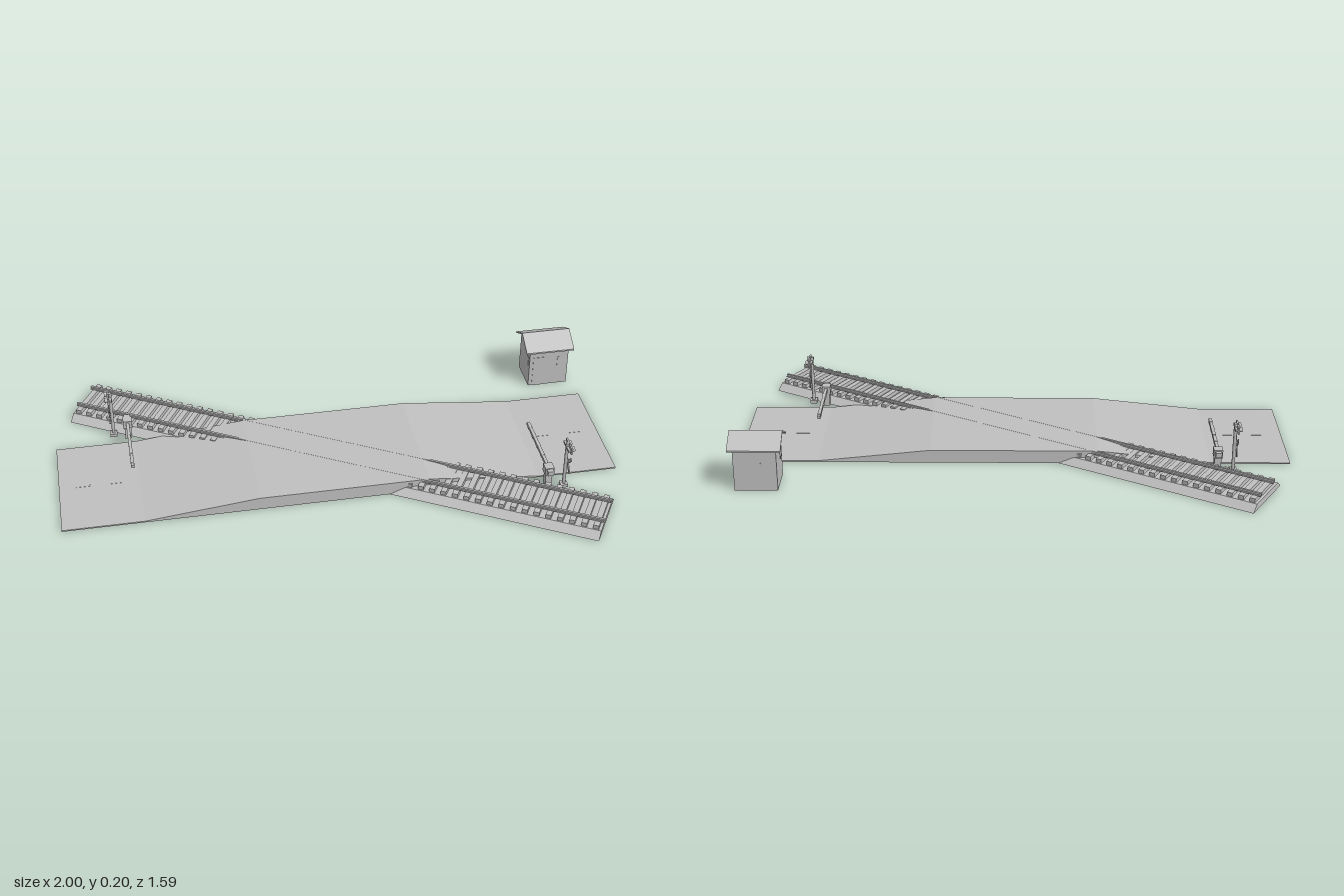
import * as THREE from 'three';

const gray = new THREE.MeshStandardMaterial({ color: 0xc0c0c0 });
gray.name = 'plain gray';

function add(parent, name, geometry, x = 0, y = 0, z = 0) {
  const mesh = new THREE.Mesh(geometry, gray);
  mesh.name = name;
  mesh.position.set(x, y, z);
  parent.add(mesh);
  return mesh;
}
const box = (w, h, d) => new THREE.BoxGeometry(w, h, d);
const cyl = (r, h, n = 10) => new THREE.CylinderGeometry(r, r, h, n);

// Extrudes an outline of [x, y] points along z, centred
function prism(points, depth) {
  const shape = new THREE.Shape(points.map(p => new THREE.Vector2(...p)));
  return new THREE.ExtrudeGeometry(shape, { depth, bevelEnabled: false }).translate(0, 0, -depth / 2);
}

// Ballast, ties and rails along x
function makeTrack() {
  const track = new THREE.Group();
  track.name = 'track';
  const bed = prism([[-0.12, 0], [0.12, 0], [0.092, 0.023], [-0.092, 0.023]], 2);
  add(track, 'ballast', bed.rotateY(Math.PI / 2));
  for (let i = 0; i < 48; i++) {
    add(track, 'tie', box(0.02, 0.016, 0.175), -0.98 + i * 1.96 / 47, 0.03, 0);
  }
  for (const s of [-1, 1]) {
    add(track, 'railFoot', box(2, 0.003, 0.014), 0, 0.0385, s * 0.056);
    add(track, 'railWeb', box(2, 0.008, 0.004), 0, 0.042, s * 0.056);
    add(track, 'railHead', box(2, 0.0035, 0.008), 0, 0.0467, s * 0.056);
  }
  return track;
}

// Post with crossed boards and twin lamps, facing -x
function makeSignal() {
  const signal = new THREE.Group();
  signal.name = 'signal';
  add(signal, 'signalBase', box(0.026, 0.012, 0.026), 0, 0.006, 0);
  add(signal, 'signalPost', cyl(0.006, 0.188), 0, 0.094, 0);
  for (const s of [-1, 1]) {
    add(signal, 'crossBoard', box(0.004, 0.013, 0.086), -0.008 - s * 0.001, 0.105, 0).rotation.x = s * Math.PI / 4;
    add(signal, 'lampBoard', box(0.006, 0.026, 0.03), -0.008, 0.172, s * 0.018);
    const lamp = add(signal, 'lamp', cyl(0.009, 0.012, 12), -0.015, 0.172, s * 0.018);
    lamp.rotation.z = Math.PI / 2;
  }
  add(signal, 'lampBracket', box(0.008, 0.008, 0.06), 0, 0.172, 0);
  return signal;
}

// Barrier post with a lowered arm reaching along +z
function makeGate() {
  const gate = new THREE.Group();
  gate.name = 'gate';
  add(gate, 'gatePost', box(0.024, 0.076, 0.024), 0, 0.038, 0);
  add(gate, 'gateMotor', box(0.032, 0.03, 0.034), 0, 0.065, 0);
  add(gate, 'gateArm', box(0.011, 0.012, 0.29), 0, 0.068, 0.125);
  add(gate, 'counterweight', box(0.022, 0.018, 0.022), 0, 0.068, -0.022);
  for (let i = 0; i < 4; i++) {
    add(gate, 'armBand', box(0.0125, 0.0135, 0.02), 0, 0.068, 0.08 + i * 0.055);
  }
  return gate;
}

// Hut with a gable roof, ridge along x
function makeHut() {
  const hut = new THREE.Group();
  hut.name = 'hut';
  const walls = prism([[-0.065, 0], [0.065, 0], [0.065, 0.158], [0, 0.194], [-0.065, 0.158]], 0.15);
  add(hut, 'walls', walls.rotateY(Math.PI / 2));
  const roof = prism([[-0.078, 0.151], [0, 0.194], [0.078, 0.151], [0.078, 0.157], [0, 0.2], [-0.078, 0.157]], 0.185);
  add(hut, 'roof', roof.rotateY(Math.PI / 2));
  add(hut, 'door', box(0.05, 0.125, 0.003), -0.036, 0.0625, 0.065);
  add(hut, 'frontWindow', box(0.018, 0.04, 0.003), 0.042, 0.1, 0.065);
  add(hut, 'backWindow', box(0.04, 0.04, 0.003), 0, 0.1, -0.065);
  add(hut, 'sideWindow', box(0.003, 0.04, 0.03), -0.075, 0.1, 0.035);
  return hut;
}

export function createModel() {
  const model = new THREE.Group();
  model.name = 'levelCrossing';

  const track = makeTrack();
  track.position.z = 0.1;
  model.add(track);

  // Everything along the slanted road
  const crossing = new THREE.Group();
  crossing.name = 'crossing';
  crossing.position.z = 0.1;
  crossing.rotation.y = Math.PI / 6;
  model.add(crossing);

  // Road deck with ramps up to the rails
  const L = 0.985, low = 0.005, high = 0.048;
  add(crossing, 'road', prism([
    [-L, 0], [L, 0], [L, low], [0.7, low], [0.3, high], [-0.3, high], [-0.7, low], [-L, low]
  ], 0.46));

  // Each side of the crossing is the other turned half round
  for (const turn of [0, Math.PI]) {
    const side = new THREE.Group();
    side.name = turn ? 'rightSide' : 'leftSide';
    side.rotation.y = turn;
    crossing.add(side);
    const signal = makeSignal();
    signal.position.set(-0.773, 0, -0.29);
    const gate = makeGate();
    gate.position.set(-0.72, 0, -0.27);
    side.add(signal, gate);
    for (const x of [-0.78, -0.9]) {
      add(side, 'laneDash', box(0.05, 0.001, 0.008), x, low + 0.0002, 0);
    }
  }

  const hut = makeHut();
  hut.position.set(0.888, 0, -0.388);
  crossing.add(hut);
  return model;
}
